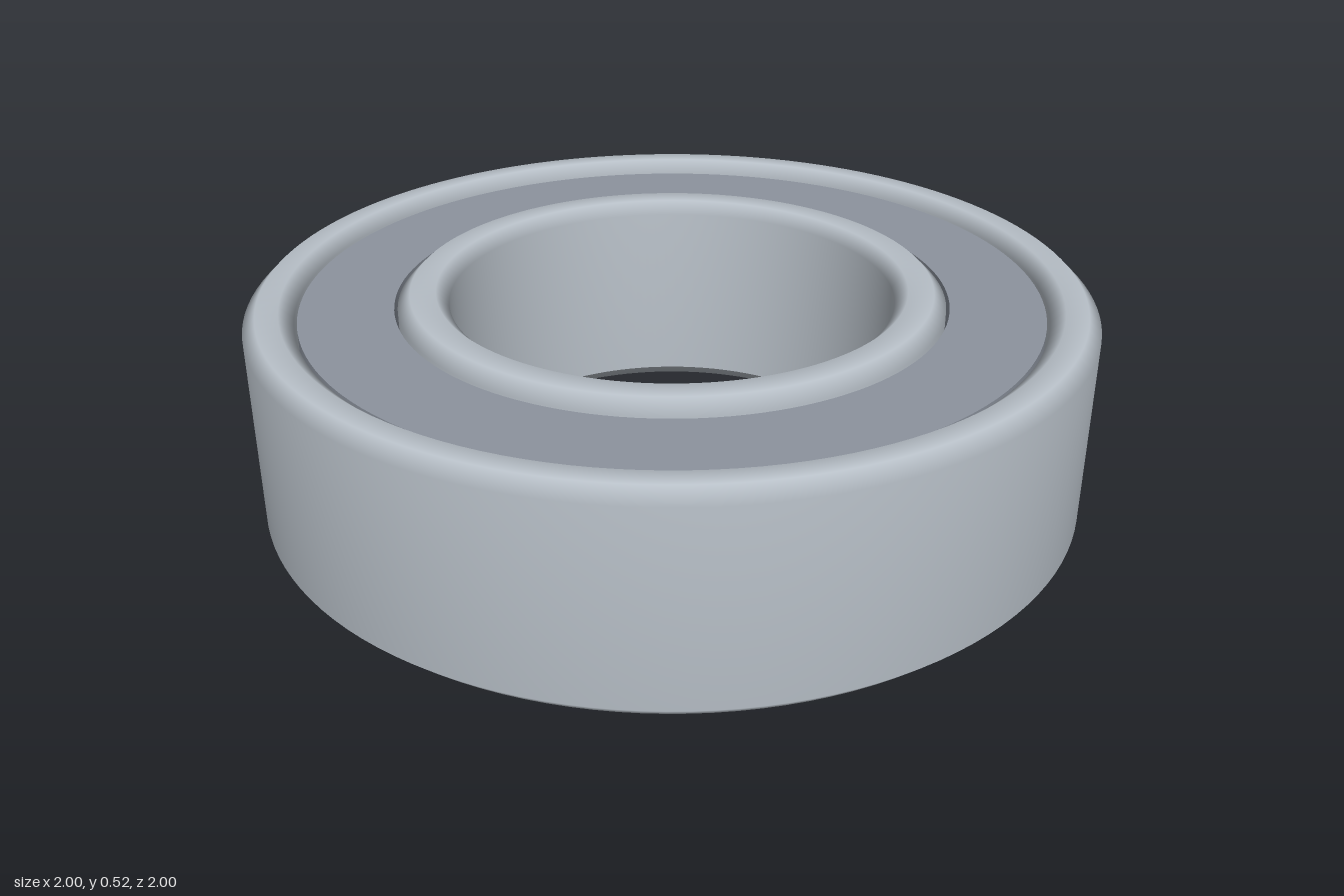
import * as THREE from 'three';
import { toCreasedNormals } from 'three/addons/utils/BufferGeometryUtils.js';

const HEIGHT = 0.52;
const CHAMFER = 0.03;
const SEGMENTS = 128;

// Closed ring from a counterclockwise (radius, height) section
function lathe(section) {
  const points = [...section, section[0]].map(([r, y]) => new THREE.Vector2(r, y));
  return new THREE.LatheGeometry(points, SEGMENTS);
}

// Race section with all four corners chamfered; inBevel and outBevel are radial widths
function race(inner, outer, inBevel, outBevel) {
  const top = HEIGHT - CHAMFER;
  return lathe([
    [inner, CHAMFER], [inner + inBevel, 0],
    [outer - outBevel, 0], [outer, CHAMFER],
    [outer, top], [outer - outBevel, HEIGHT],
    [inner + inBevel, HEIGHT], [inner, top],
  ]);
}

export function createModel() {
  const group = new THREE.Group();
  group.name = 'ballBearing';

  const steel = new THREE.MeshStandardMaterial({ color: 0xb8c0c8 });
  steel.name = 'steel';
  const sealGrey = new THREE.MeshStandardMaterial({ color: 0x8c939e });
  sealGrey.name = 'sealGrey';

  const add = (name, geometry, material) => {
    const mesh = new THREE.Mesh(geometry, material);
    mesh.name = name;
    group.add(mesh);
  };

  // Steel races with softly shaded chamfers
  add('outerRace', race(0.886, 1, 0.032, 0.03), steel);
  add('innerRace', race(0.53, 0.65, 0.03, 0.03), steel);

  // Recessed flat seal, with a fine gap to either race
  const recess = 0.03;
  const seal = lathe([
    [0.658, recess], [0.879, recess],
    [0.879, HEIGHT - recess], [0.658, HEIGHT - recess],
  ]);
  add('seal', toCreasedNormals(seal, 0.6), sealGrey);

  return group;
}
